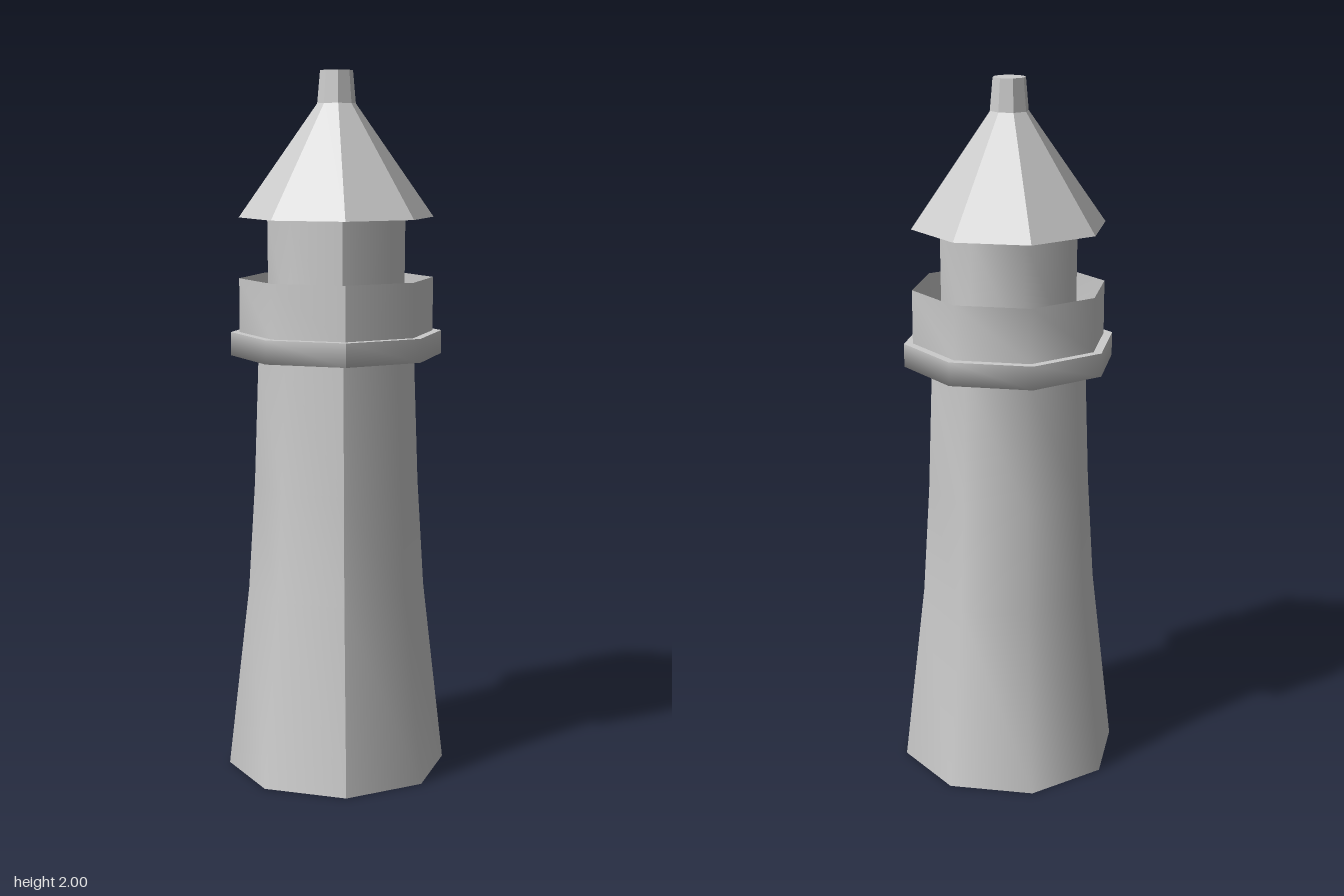
import * as THREE from 'three';

const SIDES = 8;

// Eight-sided shell turned from [radius, height] points, listed bottom to top.
function turned(name, profile, flat = false) {
  const points = profile.map(([r, y]) => new THREE.Vector2(r, y));
  const geometry = new THREE.LatheGeometry(points, SIDES, Math.PI / 4);
  geometry.computeVertexNormals(); // soft facets with one hard seam
  const material = new THREE.MeshStandardMaterial({
    color: 0xcccccc, flatShading: flat, side: THREE.DoubleSide,
  });
  const mesh = new THREE.Mesh(geometry, material);
  mesh.name = name;
  return mesh;
}

export function createModel() {
  const group = new THREE.Group();
  group.name = 'lighthouse';

  group.add(
    // Tapering tower, open at the foot
    turned('tower', [[0.315, 0], [0.254, 0.53], [0.235, 0.84], [0.222, 1.21]]),

    // Gallery: projecting ledge, flat deck and thin parapet
    turned('galleryLedge', [[0.22, 1.2], [0.3, 1.207], [0.3, 1.273]]),
    turned('galleryDeck', [[0.3, 1.273], [0.19, 1.273]], true),
    turned('parapet', [[0.275, 1.273], [0.275, 1.425]]),

    // Lantern room
    turned('lanternRoom', [[0.193, 1.273], [0.195, 1.595]]),

    // Faceted roof with a flat soffit
    turned('roof', [[0.275, 1.595], [0.05, 1.915]], true),
    turned('roofSoffit', [[0.19, 1.595], [0.275, 1.595]], true),

    // Chimney cap at the peak
    turned('roofVent', [[0.054, 1.91], [0.046, 2]], true),
    turned('roofVentTop', [[0.046, 2], [0, 2]], true),
  );
  return group;
}
